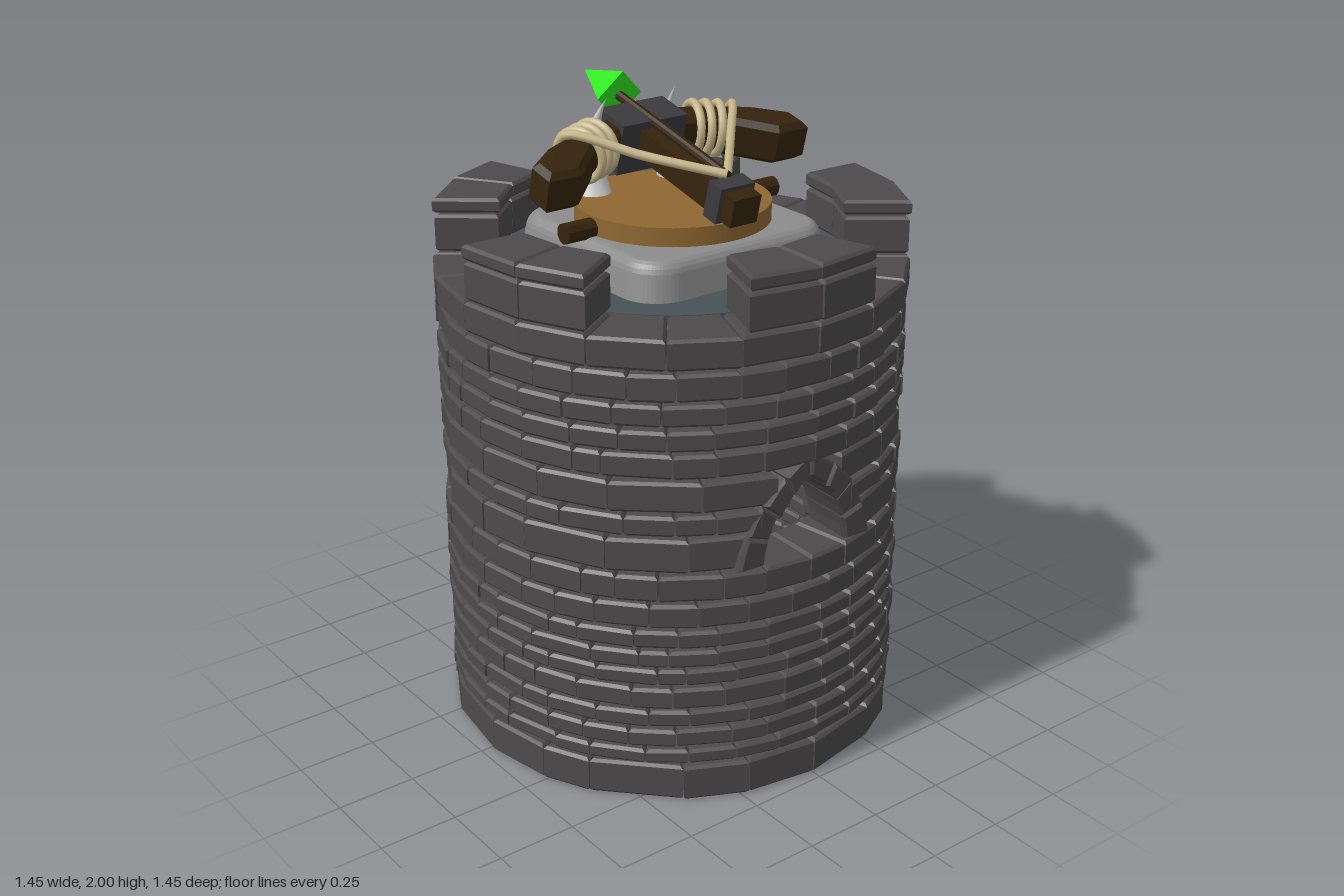
import * as THREE from 'three';
import { mergeGeometries } from 'three/addons/utils/BufferGeometryUtils.js';

const mat = (color, flatShading = false) => new THREE.MeshStandardMaterial({ color, flatShading });
const STONE = mat(0x4d4a4b, true), FLOOR = mat(0x465258), GREY = mat(0x8c8c8c), DISC = mat(0x8f6832);
const WOOD = mat(0x35240d, true), IRON = mat(0x3b3b3e, true), ROPE = mat(0xc6b68a), HORN = mat(0xcccccc);
const GREEN = mat(0x2fe822, true);

let seed = 7;
const rand = () => (seed = (seed * 16807) % 2147483647) / 2147483647;

function add(parent, name, geometry, material, x = 0, y = 0, z = 0) {
  const m = new THREE.Mesh(geometry, material);
  m.name = name;
  m.position.set(x, y, z);
  parent.add(m);
  return m;
}

// Extrude a polygon with a chamfer that stays inside the outline
function slab(points, depth, bevel) {
  const shape = new THREE.Shape(points.map(p => new THREE.Vector2(p[0], p[1])));
  return new THREE.ExtrudeGeometry(shape, {
    depth: depth - 2 * bevel, bevelEnabled: true, bevelThickness: bevel, bevelSize: bevel,
    bevelOffset: -bevel, bevelSegments: 1, steps: 1,
  }).translate(0, 0, bevel);
}

// One wedge-shaped stone of the round wall, between two angles and two heights
function stone(a0, a1, y0, y1, rIn, rOut) {
  const p = (r, a) => [r * Math.cos(a), r * Math.sin(a)];
  return slab([p(rIn, a0), p(rOut, a0), p(rOut, a1), p(rIn, a1)], y1 - y0, 0.009)
    .rotateX(-Math.PI / 2).translate(0, y0, 0);
}

// A course of stones with uneven lengths, filling the given arc
function course(start, arc, n, y0, y1, rIn, rOut, uneven) {
  const cuts = [];
  for (let i = 0; i <= n; i++) {
    const shift = i === 0 || i === n ? 0 : (rand() - 0.5) * uneven;
    cuts.push(start + (arc * (i + shift)) / n);
  }
  const parts = [];
  for (let i = 0; i < n; i++) {
    parts.push(stone(cuts[i] + 0.002, cuts[i + 1] - 0.002, y0, y1, rIn, rOut + (rand() - 0.5) * 0.008));
  }
  return mergeGeometries(parts);
}

const WINDOW_ANGLE = -0.055, SILL = 0.765;
const COURSES = [
  [0, 0.115], [0.128, 0.175], [0.185, 0.242], [0.253, 0.307], [0.317, 0.385], [0.396, 0.447],
  [0.457, 0.511], [0.521, 0.577], [0.588, 0.664], [0.675, 0.757], [0.768, 0.873], [0.884, 0.947],
  [0.959, 1.053], [1.065, 1.139], [1.15, 1.212], [1.223, 1.288], [1.3, 1.383], [1.395, 1.488],
];

function buildWall(root) {
  const wall = new THREE.Group();
  wall.name = 'wall';
  root.add(wall);
  COURSES.forEach(([y0, y1], i) => {
    const h = y1 - y0, mid = (y0 + y1) / 2, big = h > 0.085;
    const rOut = i === 17 ? 0.726 : 0.719;
    // Courses beside the window stop at its arch
    let gap = 0;
    if (mid > SILL && mid < 1.04) gap = Math.asin(0.21 * Math.sqrt(1 - (mid - SILL) / 0.34) / 0.7);
    const start = gap ? WINDOW_ANGLE + gap : rand() * 0.3;
    const arc = Math.PI * 2 - 2 * gap;
    const n = Math.round(((big ? 20 : 31) * arc) / (Math.PI * 2));
    add(wall, 'stoneCourse', course(start, arc, n, y0, y1, 0.52, rOut, i === 17 ? 0.15 : 0.45), STONE);
  });
  // Five battlements, each with two blocks and two cap stones
  for (let k = 0; k < 5; k++) {
    const a = (k * 2 * Math.PI) / 5 - Math.PI / 10 - 0.04;
    const parts = [
      course(a, Math.PI / 5, 2, 1.492, 1.608, 0.525, 0.722, 0.1),
      course(a, Math.PI / 5, 2, 1.614, 1.66, 0.52, 0.726, 0.1),
    ];
    add(wall, 'battlement', mergeGeometries(parts), STONE);
  }
}

// Pointed window arch made of curved stones
function buildWindow(root) {
  const g = new THREE.Group();
  g.name = 'windowArch';
  g.rotation.y = WINDOW_ANGLE;
  root.add(g);
  const V = (x, y) => new THREE.Vector2(x, y);
  for (const s of [1, -1]) {
    const outer = new THREE.QuadraticBezierCurve(V(0.24 * s, SILL), V(0.2 * s, 0.99), V(0, 1.095));
    const inner = new THREE.QuadraticBezierCurve(V(0.15 * s, SILL), V(0.13 * s, 0.93), V(0, 1.02));
    for (let k = 0; k < 4; k++) {
      const pts = [];
      for (let j = 0; j <= 2; j++) pts.push(outer.getPoint((k + 0.02 + j * 0.48) / 4).toArray());
      for (let j = 2; j >= 0; j--) pts.push(inner.getPoint((k + 0.02 + j * 0.48) / 4).toArray());
      const geo = slab(pts, k < 2 ? 0.18 : 0.195, 0.008).rotateY(Math.PI / 2);
      add(g, 'archStone', geo, STONE, 0.52, 0, 0);
    }
  }
}

function buildPlatform(root) {
  add(root, 'floor', new THREE.CylinderGeometry(0.535, 0.535, 0.03, 48), FLOOR, 0, 1.475, 0);
  // Rounded square base with softened top edges
  const w = 0.335, r = 0.09, s = new THREE.Shape();
  s.absarc(w - r, w - r, r, 0, Math.PI / 2);
  s.absarc(-w + r, w - r, r, Math.PI / 2, Math.PI);
  s.absarc(-w + r, -w + r, r, Math.PI, Math.PI * 1.5);
  s.absarc(w - r, -w + r, r, Math.PI * 1.5, Math.PI * 2);
  const base = new THREE.ExtrudeGeometry(s, { depth: 0.08, bevelThickness: 0.035, bevelSize: 0.03, bevelSegments: 4, curveSegments: 8 });
  base.rotateX(-Math.PI / 2);
  const p = base.attributes.position;
  for (let i = 0; i < p.count; i++) {
    const k = 1 - 0.6 * Math.max(0, p.getY(i) - 0.02);
    p.setXYZ(i, p.getX(i) * k, p.getY(i), p.getZ(i) * k);
  }
  base.computeVertexNormals();
  add(root, 'base', base, GREY, -0.015, 1.49, -0.015);
  add(root, 'turntable', new THREE.CylinderGeometry(0.3, 0.3, 0.065, 48), DISC, -0.012, 1.63, -0.015);
  for (const s of [1, -1]) {
    const peg = new THREE.CylinderGeometry(0.032, 0.032, 0.14, 10).rotateX(Math.PI / 2);
    add(root, 'peg', peg, WOOD, -0.015, 1.625, -0.015 + s * 0.33);
    // Curved horn: a cone bent along its height
    const horn = new THREE.ConeGeometry(0.062, 0.31, 16, 10).translate(0, 0.155, 0);
    const q = horn.attributes.position;
    for (let i = 0; i < q.count; i++) {
      const t = q.getY(i) / 0.31;
      q.setX(i, q.getX(i) - 0.16 * t + 0.19 * t * t);
      q.setZ(i, q.getZ(i) - s * 0.03 * t);
    }
    horn.computeVertexNormals();
    add(root, 'horn', horn, HORN, -0.2, 1.645, -0.015 + s * 0.16);
  }
}

function buildCrossbow(root) {
  const g = new THREE.Group();
  g.name = 'crossbow';
  g.position.set(0, 1.852, -0.015);
  g.rotation.z = -0.245;
  root.add(g);
  const box = (x, y, z) => new THREE.BoxGeometry(x, y, z);
  add(g, 'stock', box(0.5, 0.09, 0.1), WOOD, 0.11, -0.062, 0);
  add(g, 'stockBand', box(0.06, 0.115, 0.125), IRON, 0.28, -0.062, 0);
  add(g, 'centreBlock', box(0.13, 0.165, 0.24), IRON, -0.165, -0.075, 0);
  // Bolt with a four-sided head
  add(g, 'boltShaft', new THREE.CylinderGeometry(0.016, 0.016, 0.56, 10).rotateZ(Math.PI / 2), WOOD, -0.025, 0, 0);
  add(g, 'boltHead', new THREE.ConeGeometry(0.082, 0.19, 4).rotateZ(Math.PI / 2), GREEN, -0.385, 0, 0);

  const armOutline = [[-0.21, 0.09], [-0.11, 0.09], [-0.075, 0.23], [0.055, 0.37], [0.055, 0.485],
    [-0.035, 0.485], [-0.115, 0.375], [-0.165, 0.25]];
  for (const s of [1, -1]) {
    const pts = armOutline.map(([x, z]) => [x, z * s]);
    const arm = slab(pts, 0.13, 0.018).rotateX(Math.PI / 2).translate(0, 0.065, 0);
    add(g, 'bowArm', arm, WOOD, 0, -0.075, 0);
    // Rope windings around the arm
    for (let k = 0; k < 3; k++) {
      const ring = add(g, 'ropeWinding', new THREE.TorusGeometry(0.078, 0.014, 8, 24), ROPE,
        -0.142 + 0.014 * k, -0.07, s * (0.185 + 0.037 * k));
      ring.rotation.y = s * (0.3 + 0.07 * k);
    }
    // Bowstring from arm to bolt end
    const string = new THREE.CatmullRomCurve3([
      new THREE.Vector3(-0.15, -0.04, s * 0.32), new THREE.Vector3(-0.12, 0.005, s * 0.31),
      new THREE.Vector3(0.06, 0.0, s * 0.165), new THREE.Vector3(0.255, 0.005, 0),
    ]);
    add(g, 'bowstring', new THREE.TubeGeometry(string, 24, 0.014, 8), ROPE);
  }
}

export function createModel() {
  const root = new THREE.Group();
  root.name = 'watchtower';
  buildWall(root);
  buildWindow(root);
  buildPlatform(root);
  buildCrossbow(root);
  return root;
}
